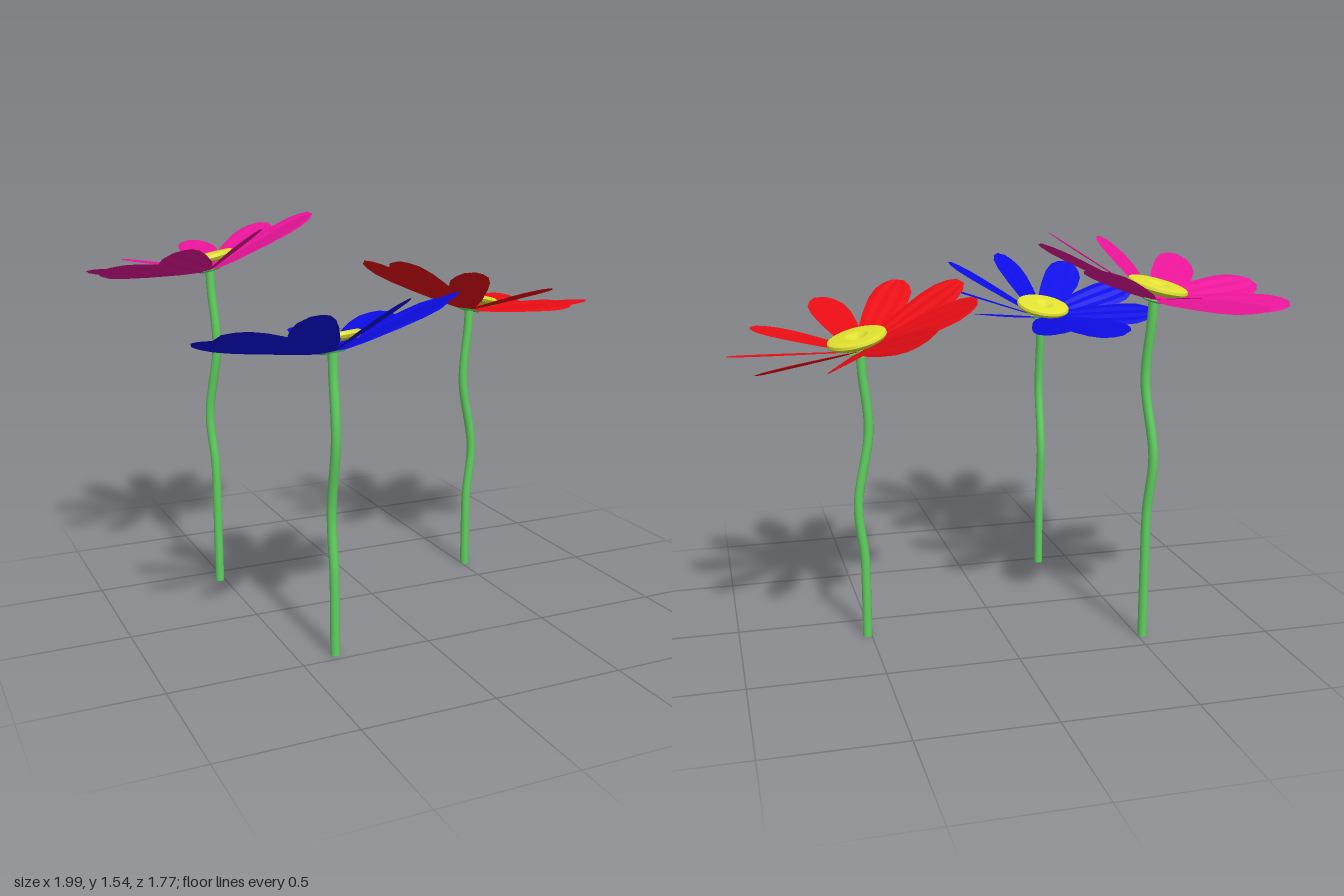
import * as THREE from 'three';
import { toCreasedNormals } from 'three/addons/utils/BufferGeometryUtils.js';

const PETALS = 9;
const CONE = 0.24; // upward slant of the petals
const TWIST = 0.26; // roll of each petal about its own axis
const material = (color) => new THREE.MeshStandardMaterial({ color });

function mesh(name, geometry, mat) {
  const m = new THREE.Mesh(geometry, mat);
  m.name = name;
  return m;
}

// Gently fluted petal lying along +x: rows are [distance, half width]
function petalGeometry() {
  const rows = [[0.015, 0.02], [0.11, 0.05], [0.24, 0.071], [0.34, 0.08],
    [0.41, 0.074], [0.455, 0.052], [0.482, 0.024]];
  const cols = 6;
  const positions = [], index = [];
  rows.forEach(([r, w], i) => {
    for (let j = 0; j <= cols; j++) {
      const s = (j / cols) * 2 - 1;
      const ridge = (j % 2 ? 0.022 : -0.022) * w;
      positions.push(r, ridge, s * w);
      if (i && j) {
        const d = i * (cols + 1) + j, c = d - 1, b = d - cols - 1, a = b - 1;
        index.push(a, b, d, a, d, c);
      }
    }
  });
  const g = new THREE.BufferGeometry();
  g.setAttribute('position', new THREE.Float32BufferAttribute(positions, 3));
  g.setIndex(index);
  const flat = g.toNonIndexed();
  flat.computeVertexNormals();
  return flat;
}

// Thick flat-topped flower centre with a conical dimple
function centreGeometry() {
  const profile = [[0, 0.03], [0.095, 0.034], [0.106, 0.04], [0.113, 0.05],
    [0.11, 0.06], [0.1, 0.064], [0.044, 0.063], [0, 0.04]];
  const lathe = new THREE.LatheGeometry(profile.map(([x, y]) => new THREE.Vector2(x, y)), 32);
  return toCreasedNormals(lathe, 0.4);
}

// Flower: stem foot, stem height, bend direction, uphill slope of head, petal phase
function flower({ name, color, x, z, top, bend, slope, phase }) {
  const group = new THREE.Group();
  group.name = name;
  group.position.set(x, 0, z);
  const green = material(0x60d060);

  // Wavy stem
  const point = (y, k) => new THREE.Vector3(bend[0] * k, y, bend[1] * k);
  const curve = new THREE.CatmullRomCurve3([
    point(0, 0), point((top - 0.8) * 0.6, 0), point(top - 0.8, 0.002), point(top - 0.59, 0.022),
    point(top - 0.3, -0.023), point(top - 0.08, -0.004), point(top, 0),
  ]);
  group.add(mesh('stem', new THREE.TubeGeometry(curve, 40, 0.018, 12), green));
  const foot = mesh('stemFoot', new THREE.CircleGeometry(0.018, 12), green);
  foot.rotation.x = Math.PI / 2;
  group.add(foot);

  // Tilted head
  const head = new THREE.Group();
  head.name = 'head';
  head.position.y = top;
  head.quaternion.setFromUnitVectors(new THREE.Vector3(0, 1, 0),
    new THREE.Vector3(-slope[0], 1, -slope[1]).normalize());
  group.add(head);

  const calyx = mesh('calyx', new THREE.CylinderGeometry(0.045, 0.04, 0.006, 16), green);
  head.add(calyx);
  head.add(mesh('centre', centreGeometry(), material(0xe0e030)));

  const petalMaterial = material(color);
  petalMaterial.side = THREE.DoubleSide;
  const geometry = petalGeometry();
  for (let i = 0; i < PETALS; i++) {
    const petal = mesh('petal', geometry, petalMaterial);
    petal.rotation.set(TWIST, phase + (i / PETALS) * Math.PI * 2, CONE, 'YZX');
    head.add(petal);
  }
  return group;
}

export function createModel() {
  const model = new THREE.Group();
  model.name = 'flowers';
  model.add(
    flower({ name: 'redFlower', color: 0xe80c14, x: 0.515, z: -0.15, top: 1.12,
      bend: [1, 0], slope: [-0.25, 0.1], phase: -0.05 }),
    flower({ name: 'blueFlower', color: 0x0c0ce4, x: -0.36, z: 0.46, top: 1.12,
      bend: [0, -1], slope: [0.1, 0.25], phase: 0 }),
    flower({ name: 'pinkFlower', color: 0xe81498, x: -0.52, z: -0.41, top: 1.31,
      bend: [-0.6, -0.8], slope: [0.22, 0.13], phase: -0.03 }),
  );
  return model;
}
